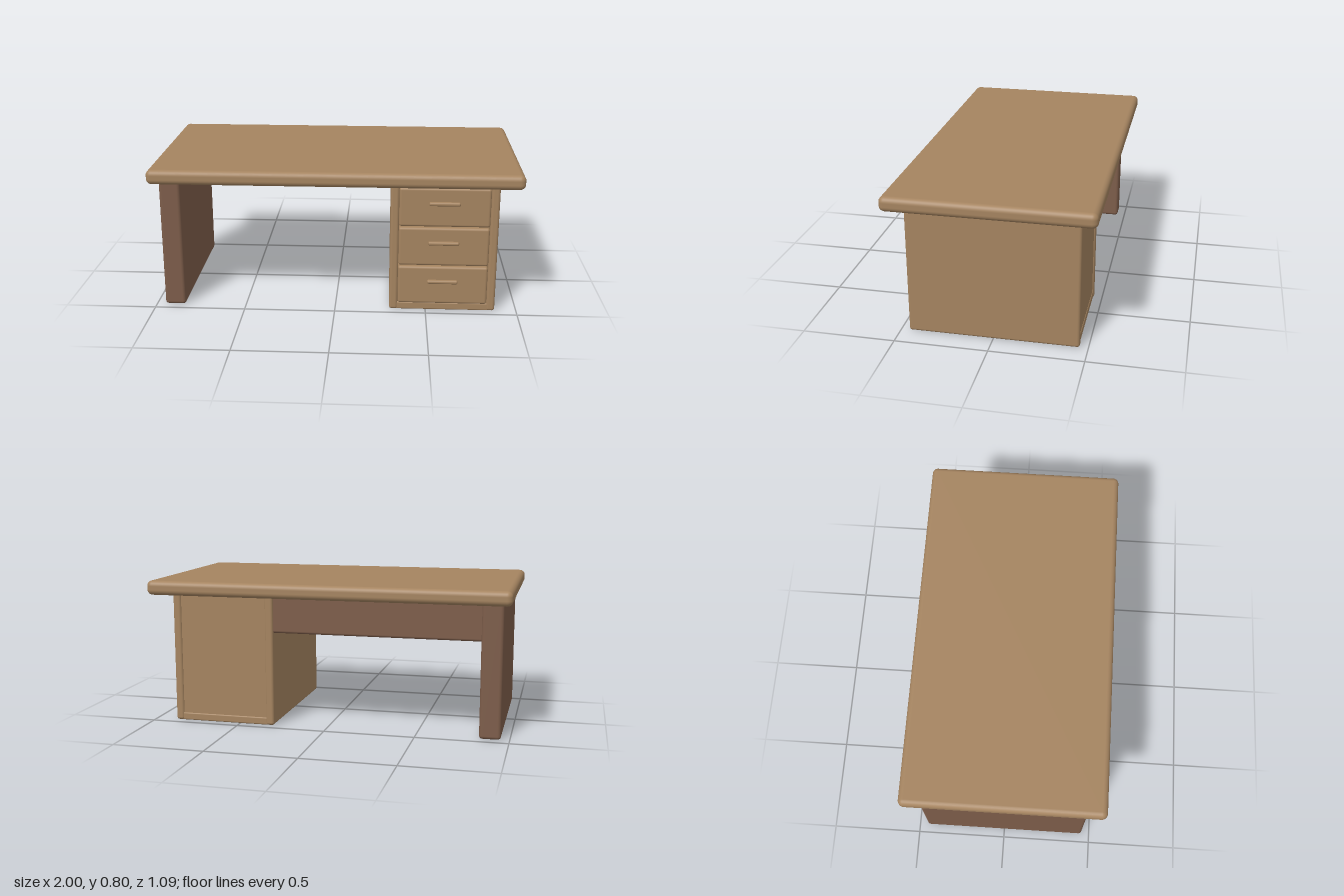
import * as THREE from 'three';
import { RoundedBoxGeometry } from 'three/addons/geometries/RoundedBoxGeometry.js';

export function createModel() {
  const desk = new THREE.Group();
  desk.name = 'desk';

  const lightWood = new THREE.MeshStandardMaterial({ color: 0xa58460 });
  lightWood.name = 'lightWood';
  const darkWood = new THREE.MeshStandardMaterial({ color: 0x7d5d4a });
  darkWood.name = 'darkWood';

  // Rounded board given by its [min, max] extent along each axis
  function board(name, material, x, y, z, radius, parent = desk) {
    const size = [x, y, z].map(([a, b]) => b - a);
    const mesh = new THREE.Mesh(new RoundedBoxGeometry(...size, 4, radius), material);
    mesh.position.set((x[0] + x[1]) / 2, (y[0] + y[1]) / 2, (z[0] + z[1]) / 2);
    mesh.name = name;
    parent.add(mesh);
    return mesh;
  }

  // Table top, side leg and modesty panel
  board('tableTop', lightWood, [-1, 1], [0.726, 0.806], [-0.545, 0.545], 0.03);
  board('legPanel', darkWood, [-0.953, -0.838], [0.003, 0.74], [-0.455, 0.455], 0.018);
  board('modestyPanel', darkWood, [-0.86, 0.43], [0.525, 0.74], [-0.442, -0.385], 0.014);

  // Drawer cabinet carcass
  const cabinet = new THREE.Group();
  cabinet.name = 'drawerCabinet';
  desk.add(cabinet);
  const depth = [-0.455, 0.455];
  board('cabinetInnerSide', lightWood, [0.299, 0.346], [0.003, 0.74], depth, 0.015, cabinet);
  board('cabinetOuterSide', lightWood, [0.834, 0.881], [0.003, 0.74], depth, 0.015, cabinet);
  board('cabinetBase', lightWood, [0.33, 0.85], [0.003, 0.046], [-0.45, 0.45], 0.008, cabinet);
  board('cabinetBack', lightWood, [0.33, 0.85], [0.03, 0.74], [-0.446, -0.41], 0.006, cabinet);

  // Three drawers, each with a bar handle
  for (let i = 0; i < 3; i++) {
    const bottom = 0.042 + i * 0.224;
    const drawer = new THREE.Group();
    drawer.name = 'drawer' + (i + 1);
    cabinet.add(drawer);
    board('drawerFront', lightWood, [0.345, 0.835], [bottom, bottom + 0.218], [0.405, 0.457], 0.014, drawer);
    const y = bottom + 0.132;
    board('drawerHandle', lightWood, [0.505, 0.672], [y - 0.0105, y + 0.0105], [0.445, 0.473], 0.009, drawer);
  }

  return desk;
}
